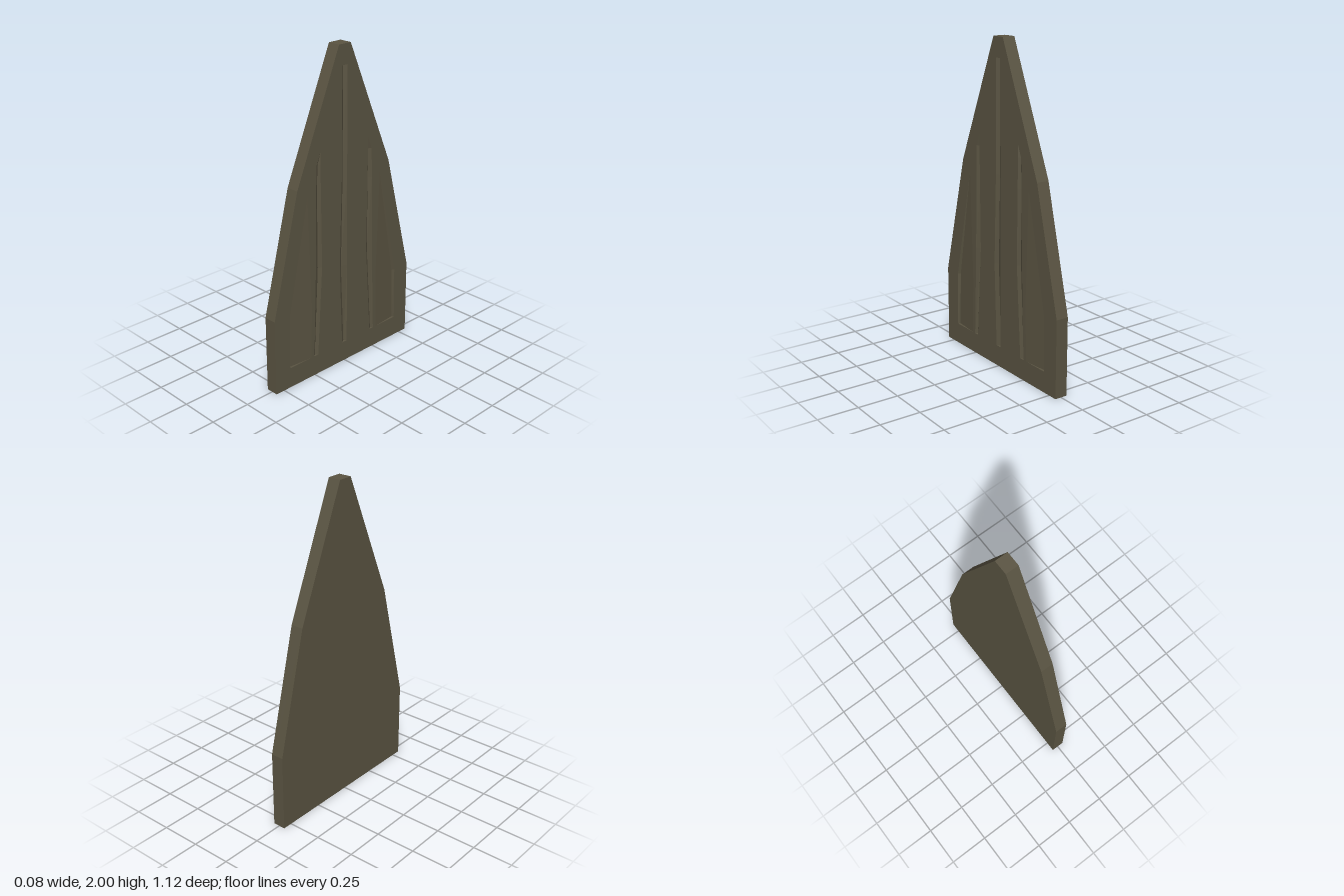
import * as THREE from 'three';

const FACE = 0.04;   // half thickness of the slab
const SKIN = 0.02;   // thickness of the layer that holds the recesses

const toVec = ([u, y]) => new THREE.Vector2(u, y);

// Rows run upwards: [y, left rim, valley, right rim, depth of the valley]
const mirrorRows = rows => rows.map(([y, l, v, r, d]) => [y, -r, -v, -l, d]);

// Outline of a recess where it cuts the surface
function rimPath(rows) {
  const pts = [...rows.map(r => [r[1], r[0]]), ...rows.map(r => [r[3], r[0]]).reverse()].map(toVec);
  return new THREE.Path(pts.filter((p, i) => p.distanceTo(pts[(i + 1) % pts.length]) > 1e-4));
}

// Sloping walls of a recess, meeting in a valley, with a cap at each end
function recessGeometry(rows) {
  const pos = [];
  const tri = (a, b, c) => {
    const t = new THREE.Triangle(new THREE.Vector3(...a), new THREE.Vector3(...b), new THREE.Vector3(...c));
    if (t.getArea() > 1e-7) pos.push(...a, ...b, ...c);
  };
  const quad = (a, b, c, d) => { tri(a, b, c); tri(a, c, d); };
  const sections = rows.map(([y, l, v, r, d]) => [[l, y, FACE], [v, y, FACE - d], [r, y, FACE]]);
  for (let i = 0; i < sections.length - 1; i++) {
    const [l0, v0, r0] = sections[i], [l1, v1, r1] = sections[i + 1];
    quad(l0, v0, v1, l1);
    quad(v0, r0, r1, v1);
  }
  const [lb, vb, rb] = sections[0], [lt, vt, rt] = sections[sections.length - 1];
  tri(lb, rb, vb);
  tri(lt, vt, rt);
  const g = new THREE.BufferGeometry();
  g.setAttribute('position', new THREE.Float32BufferAttribute(pos, 3));
  g.computeVertexNormals();
  return g;
}

export function createModel() {
  const group = new THREE.Group();
  const olive = new THREE.MeshStandardMaterial({ color: 0x5a5442, side: THREE.DoubleSide });
  olive.name = 'olive';

  const add = (geometry, name) => {
    geometry.rotateY(Math.PI / 2); // drawn in the side plane, thickness along x
    const mesh = new THREE.Mesh(geometry, olive);
    mesh.name = name;
    group.add(mesh);
  };

  // Pointed silhouette, mirrored about the middle
  const half = [[0.56, 0], [0.56, 0.48], [0.37, 1.23], [0.045, 2]];
  const outline = [...half, ...half.map(([u, y]) => [-u, y]).reverse()].map(toVec);

  const centreGroove = [
    [0.13, -0.02, 0.005, 0.02, 0.015],
    [0.65, -0.04, -0.016, 0.02, 0.015],
    [1.2, -0.024, -0.003, 0.02, 0.015],
    [1.88, -0.02, 0, 0.02, 0.015],
  ];
  const sideGroove = [
    [0.13, -0.254, -0.24, -0.222, 0.012],
    [0.7, -0.235, -0.206, -0.185, 0.015],
    [1.16, -0.228, -0.207, -0.19, 0.015],
    [1.34, -0.222, -0.204, -0.192, 0.012],
    [1.42, -0.19, -0.19, -0.19, 0],
  ];
  // Wedge panel: steep outer wall, floor rising to the surface on the inside
  const sidePanel = [
    [0.13, -0.45, -0.445, -0.28, 0.015],
    [0.47, -0.445, -0.434, -0.27, 0.015],
    [1.17, -0.295, -0.295, -0.295, 0],
  ];
  const recesses = {
    centreGroove,
    frontGroove: sideGroove, rearGroove: mirrorRows(sideGroove),
    frontPanel: sidePanel, rearPanel: mirrorRows(sidePanel),
  };

  // Solid back of the slab
  const back = new THREE.ExtrudeGeometry(new THREE.Shape(outline), { depth: 2 * FACE - SKIN, bevelEnabled: false });
  add(back.translate(0, 0, -FACE), 'slab');

  // Outer layer, cut open at each recess
  const skinShape = new THREE.Shape(outline);
  skinShape.holes = Object.values(recesses).map(rimPath);
  const skin = new THREE.ExtrudeGeometry(skinShape, { depth: SKIN, bevelEnabled: false });
  add(skin.translate(0, 0, FACE - SKIN), 'cutFace');

  // Recess walls
  for (const [name, rows] of Object.entries(recesses)) add(recessGeometry(rows), name);

  return group;
}
